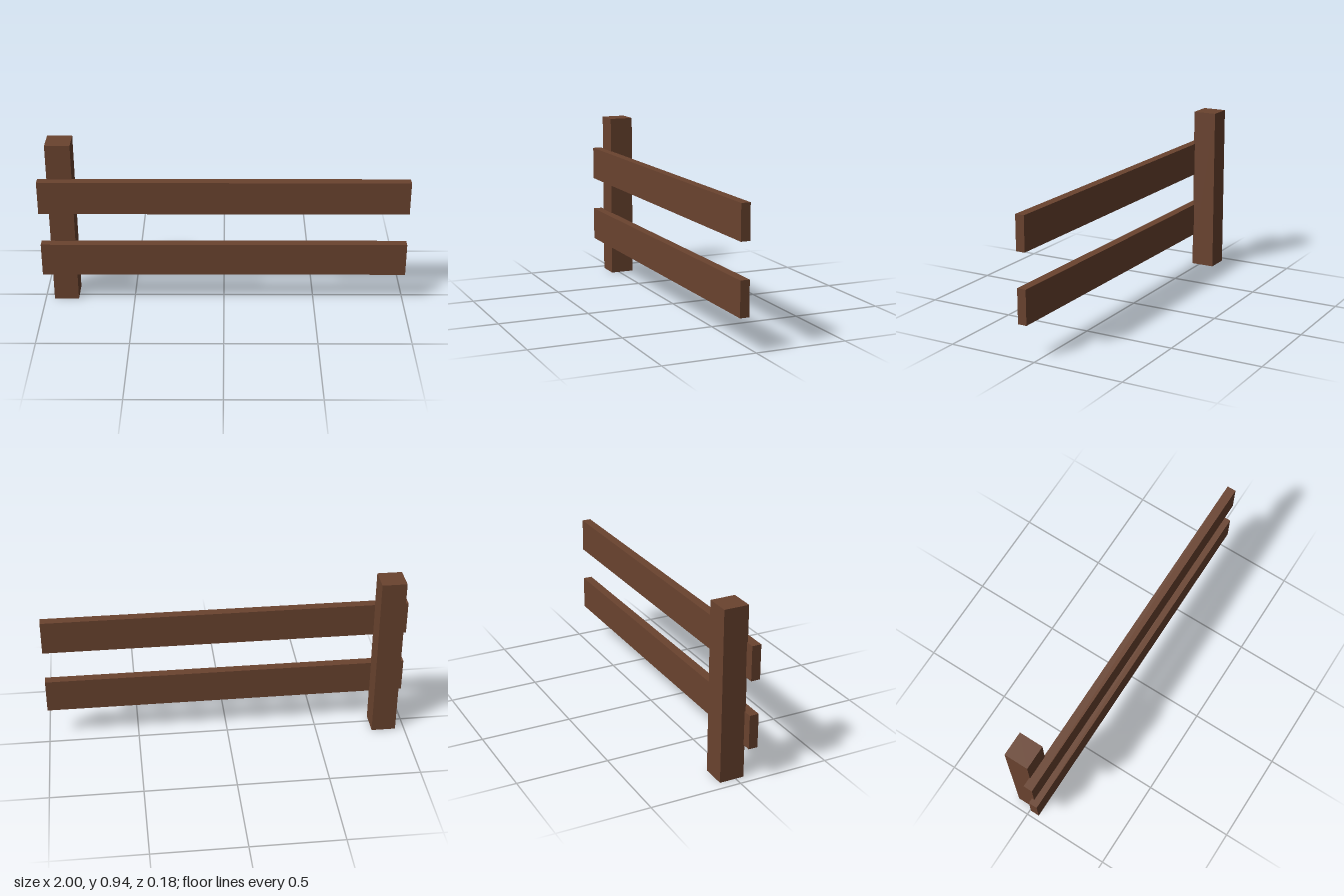
import * as THREE from 'three';

const wood = new THREE.MeshStandardMaterial({ color: 0x6a432f, side: THREE.DoubleSide });
wood.name = 'brown wood';

// Box given by its minimum and maximum corners
function beam(name, [x0, y0, z0], [x1, y1, z1]) {
  const mesh = new THREE.Mesh(new THREE.BoxGeometry(x1 - x0, y1 - y0, z1 - z0), wood);
  mesh.position.set((x0 + x1) / 2, (y0 + y1) / 2, (z0 + z1) / 2);
  mesh.name = name;
  return mesh;
}

export function createModel() {
  const fence = new THREE.Group();
  fence.name = 'fence';

  // Upright post, hollow underneath: drop the bottom face (-y is the fourth side)
  const post = beam('post', [-0.95, 0, -0.09], [-0.815, 0.942, 0.045]);
  const faces = Array.from(post.geometry.index.array);
  faces.splice(18, 6);
  post.geometry.setIndex(faces);
  post.geometry.clearGroups();
  fence.add(post);

  // Two horizontal rails set slightly into the front of the post
  for (const [name, y] of [['lowerRail', 0.184], ['upperRail', 0.56]]) {
    fence.add(beam(name, [-1, y, 0.04], [1, y + 0.187, 0.09]));
  }
  return fence;
}
